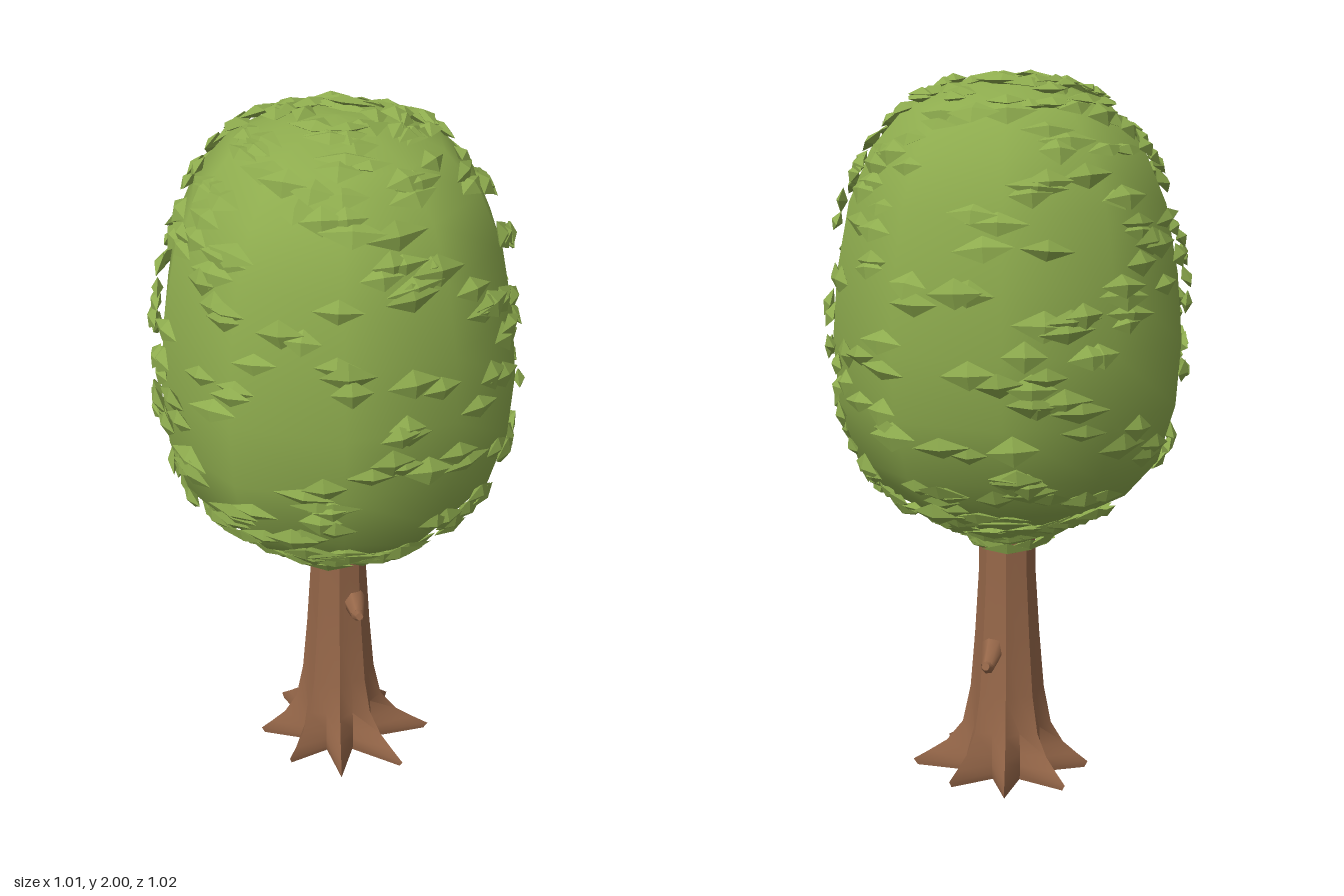
import * as THREE from 'three';
import { mergeGeometries, toCreasedNormals } from 'three/addons/utils/BufferGeometryUtils.js';

const V = (x, y, z) => new THREE.Vector3(x, y, z);
const UP = V(0, 1, 0);

// Small seeded random generator
function seeded(seed) {
  return () => {
    seed = (seed * 1664525 + 1013904223) % 4294967296;
    return seed / 4294967296;
  };
}

// Crown silhouette as [radius, height], bottom to top
const PROFILE = [
  [0.1, 0.735], [0.21, 0.785], [0.34, 0.855], [0.43, 0.96], [0.477, 1.12], [0.49, 1.3],
  [0.475, 1.48], [0.44, 1.66], [0.378, 1.8], [0.28, 1.91], [0.14, 1.965], [0, 1.975],
];

// Eight root lengths, from +x round towards +z
const ROOTS = [0.275, 0.26, 0.23, 0.215, 0.235, 0.24, 0.23, 0.225];

// Trunk rings: [height, radius between roots, how far the ridge follows its root, ridge radius]
const RINGS = [
  [0, 0.1, 0.92, 0.12], [0.018, 0.106, 1, 0.12], [0.045, 0.106, 0.7, 0.125],
  [0.08, 0.105, 0.34, 0.125], [0.14, 0.102, 0.06, 0.12], [0.25, 0.094, 0, 0.106],
  [0.42, 0.083, 0, 0.092], [0.6, 0.075, 0, 0.081], [0.8, 0.072, 0, 0.078],
];

function trunkGeometry() {
  const n = ROOTS.length * 2, pos = [], index = [];
  for (const [y, valley, follow, ridge] of RINGS) {
    for (let j = 0; j < n; j++) {
      const a = (j / n) * Math.PI * 2;
      const r = j % 2 ? valley : ridge + (ROOTS[j / 2] - ridge) * follow;
      pos.push(Math.cos(a) * r + 0.005, y, Math.sin(a) * r);
    }
  }
  for (let i = 0; i < RINGS.length - 1; i++) {
    for (let j = 0; j < n; j++) {
      const a = i * n + j, b = i * n + ((j + 1) % n);
      index.push(a, a + n, b + n, a, b + n, b);
    }
  }
  // underside
  const centre = pos.length / 3;
  pos.push(0, 0, 0);
  for (let j = 0; j < n; j++) index.push(centre, j, (j + 1) % n);
  const g = new THREE.BufferGeometry();
  g.setAttribute('position', new THREE.Float32BufferAttribute(pos, 3));
  g.setIndex(index);
  return toCreasedNormals(g, 0.75);
}

// Tapered segment between two points
function limb(from, to, r0, r1) {
  const d = to.clone().sub(from);
  const g = new THREE.CylinderGeometry(r1, r0, d.length(), 7);
  g.applyQuaternion(new THREE.Quaternion().setFromUnitVectors(UP, d.normalize()));
  return g.translate(...from.clone().add(to).multiplyScalar(0.5).toArray());
}

// Flat diamond leaf lying on the crown at profile position t and angle a
function leafGeometry(t, a, rnd) {
  const s = t * (PROFILE.length - 1), i = Math.floor(s), f = s - i;
  const [r0, y0] = PROFILE[i], [r1, y1] = PROFILE[i + 1];
  const r = r0 + (r1 - r0) * f, y = y0 + (y1 - y0) * f;
  const dir = V(Math.sin(a), 0, Math.cos(a));
  const side = V(Math.cos(a), 0, -Math.sin(a));
  const along = dir.clone().multiplyScalar(r1 - r0).addScaledVector(UP, y1 - y0).normalize();
  const normal = along.clone().cross(side).negate().normalize();
  if (normal.dot(dir) < 0) normal.negate();
  const g = new THREE.OctahedronGeometry(1);
  g.scale(0.05 + rnd() * 0.035, 0.026 + rnd() * 0.016, 0.016);
  g.rotateZ((rnd() - 0.5) * 0.25);
  g.rotateX((rnd() - 0.6) * 0.6);
  g.applyMatrix4(new THREE.Matrix4().makeBasis(side, normal.clone().cross(side), normal));
  const p = dir.multiplyScalar(r).addScaledVector(UP, y).addScaledVector(normal, rnd() * 0.014);
  return g.translate(p.x, p.y, p.z);
}

function leavesGeometry() {
  const rnd = seeded(11), parts = [];
  // clusters scattered over the crown, closer together towards the bottom
  const clusters = 112;
  for (let c = 0; c < clusters; c++) {
    const t = Math.pow((c + rnd()) / clusters, 1.2) * 0.95;
    const a = c * 2.39996 + rnd() * 0.8;
    for (let k = 0; k < 4; k++) {
      const tk = THREE.MathUtils.clamp(t + (rnd() - 0.5) * 0.06, 0, 0.96);
      parts.push(leafGeometry(tk, a + (rnd() - 0.5) * 0.55, rnd));
    }
  }
  // collar of leaves where the crown meets the trunk
  for (let k = 0; k < 12; k++) {
    const g = new THREE.OctahedronGeometry(1).scale(0.07, 0.032, 0.016);
    g.rotateX(0.5 + rnd() * 0.4).translate(0, 0.695 + rnd() * 0.04, 0.095 + rnd() * 0.025);
    parts.push(g.rotateY((k / 12) * Math.PI * 2));
  }
  const g = mergeGeometries(parts);
  // keep every leaf tip within the overall height
  const p = g.attributes.position;
  for (let i = 0; i < p.count; i++) p.setY(i, Math.min(p.getY(i), 2));
  g.computeVertexNormals();
  return g;
}

export function createModel() {
  const model = new THREE.Group();
  model.name = 'tree';
  const bark = new THREE.MeshStandardMaterial({ name: 'bark brown', color: 0x966749 });
  const leaf = new THREE.MeshStandardMaterial({ name: 'leaf green', color: 0x8eac4e });

  const add = (name, geometry, material) => {
    const m = new THREE.Mesh(geometry, material);
    m.name = name;
    model.add(m);
  };

  add('trunkWithRoots', trunkGeometry(), bark);

  // Two broken branch stubs: base, elbow, tip
  const stubs = {
    frontStub: [V(0.045, 0.53, 0.05), V(0.055, 0.513, 0.11), V(0.06, 0.523, 0.138)],
    backStub: [V(0.04, 0.395, -0.06), V(0.055, 0.352, -0.115), V(0.06, 0.362, -0.142)],
  };
  for (const [name, [a, b, c]] of Object.entries(stubs)) {
    const g = mergeGeometries([limb(a, b, 0.036, 0.02), limb(b, c, 0.02, 0.011)]);
    add(name, g, bark);
  }

  // Rounded crown body
  const points = [[0, 0.725], ...PROFILE].map(([r, y]) => new THREE.Vector2(r, y));
  add('crown', new THREE.LatheGeometry(points, 10), leaf);
  add('leaves', leavesGeometry(), leaf);
  return model;
}
